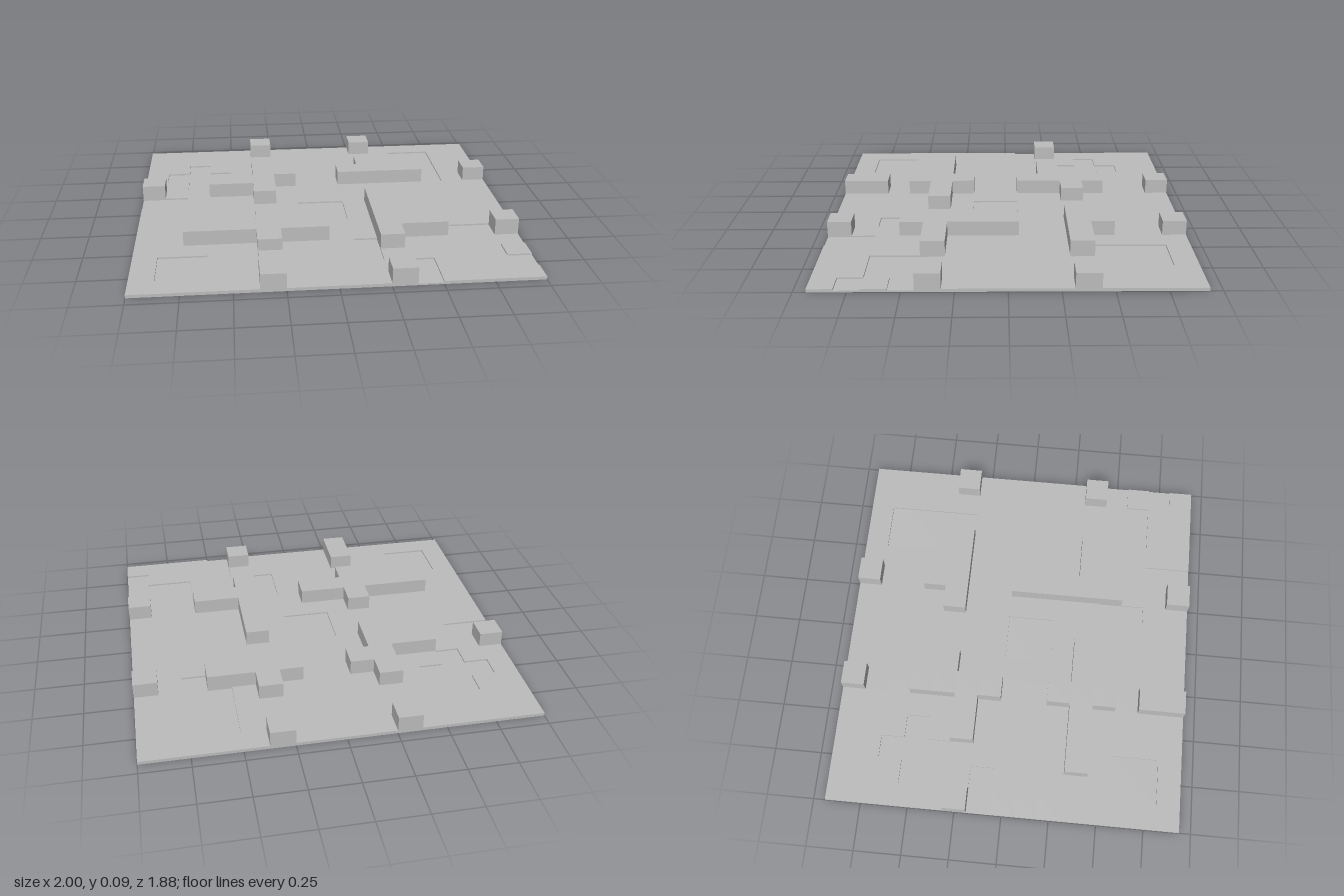
import * as THREE from 'three';

const CELL = 0.125, COLS = 16, ROWS = 15;
const SUNK = 0.008, FLOOR = 0.016, TOP = 0.094;

// Set of grid cells covered by rectangles [column, row, width, depth]
function cellsOf(rects) {
  const set = new Set();
  for (const [c, r, w, d] of rects)
    for (let i = c; i < c + w; i++) for (let j = r; j < r + d; j++) set.add(j * COLS + i);
  return set;
}

// Slab made of grid cells: a top per cell and a wall wherever a neighbour is missing
function slab(cells, y0, y1) {
  const pos = [];
  const quad = (a, b, c, d) => pos.push(...a, ...b, ...c, ...a, ...c, ...d);
  const has = (c, r) => c >= 0 && c < COLS && r >= 0 && r < ROWS && cells.has(r * COLS + c);
  for (const k of cells) {
    const c = k % COLS, r = Math.floor(k / COLS);
    const x0 = c * CELL - 1, x1 = x0 + CELL;
    const z0 = (r - ROWS / 2) * CELL, z1 = z0 + CELL;
    quad([x0, y1, z1], [x1, y1, z1], [x1, y1, z0], [x0, y1, z0]);
    if (!has(c, r + 1)) quad([x0, y0, z1], [x1, y0, z1], [x1, y1, z1], [x0, y1, z1]);
    if (!has(c, r - 1)) quad([x1, y0, z0], [x0, y0, z0], [x0, y1, z0], [x1, y1, z0]);
    if (!has(c + 1, r)) quad([x1, y0, z1], [x1, y0, z0], [x1, y1, z0], [x1, y1, z1]);
    if (!has(c - 1, r)) quad([x0, y0, z0], [x0, y0, z1], [x0, y1, z1], [x0, y1, z0]);
  }
  const geo = new THREE.BufferGeometry();
  geo.setAttribute('position', new THREE.Float32BufferAttribute(pos, 3));
  geo.computeVertexNormals();
  return geo;
}

// Raised walls, one list of rectangles per block
const WALLS = {
  backWallLeft: [[10, 0, 1, 1]],
  backWallRight: [[5, 0, 1, 1]],
  steppedCrossWall: [[5, 3, 1, 4], [6, 4, 1, 1], [3, 5, 2, 1]],
  teeWall: [[7 + 2, 4, 4, 1], [10, 3, 1, 1]],
  sideWallBack: [[15, 4, 1, 1]],
  sideWallFront: [[15, 10, 1, 1]],
  sideWallRight: [[0, 5, 1, 1]],
  crossWall: [[2, 10, 6, 1], [5, 9, 1, 3]],
  longWall: [[10, 7, 1, 5], [11, 10, 2, 1]],
  frontWallRight: [[5, 13, 1, 2]],
  frontWallLeft: [[10, 14, 1, 1]],
};

// Shallow sunken patches of the floor
const PATCHES = [
  [1, 12, 2, 2], [2, 2, 1, 3], [1, 3, 3, 1], [0, 6, 2, 1], [7, 7, 2, 2],
  [9, 11, 1, 2], [13, 10, 2, 3], [15, 11, 1, 1], [15, 13, 1, 1],
  [11, 13, 1, 2], [12, 1, 2, 3], [13, 4, 1, 1],
];

export function createModel() {
  const group = new THREE.Group();
  const grey = new THREE.MeshStandardMaterial({ color: 0xbcbcbc });
  grey.name = 'grey';
  const add = (name, geo) => {
    const mesh = new THREE.Mesh(geo, grey);
    mesh.name = name;
    group.add(mesh);
    return mesh;
  };

  // Base plate, its top showing in the sunken patches
  add('basePlate', new THREE.BoxGeometry(2, SUNK, ROWS * CELL)).position.y = SUNK / 2;

  // Floor layer with the patches left out
  const floor = cellsOf([[0, 0, COLS, ROWS]]);
  for (const k of cellsOf(PATCHES)) floor.delete(k);
  // Keep the floor solid under the walls
  for (const rects of Object.values(WALLS)) for (const k of cellsOf(rects)) floor.add(k);
  add('floor', slab(floor, SUNK, FLOOR));

  // Raised walls
  for (const [name, rects] of Object.entries(WALLS)) add(name, slab(cellsOf(rects), FLOOR, TOP));
  return group;
}
